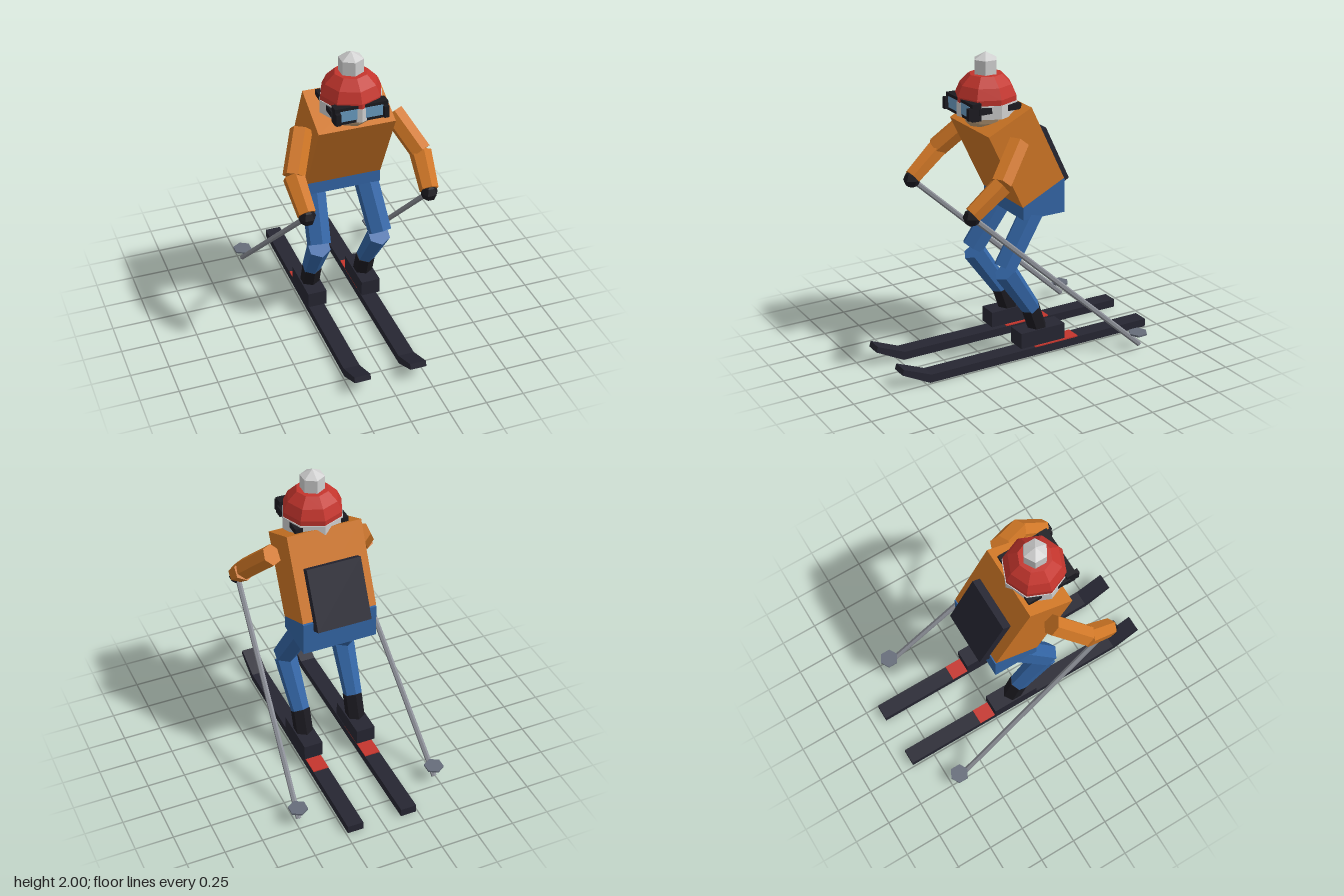
import * as THREE from 'three';

const mat = (name, color) => {
  const m = new THREE.MeshStandardMaterial({ color });
  m.name = name;
  m.flatShading = true;
  return m;
};

export function createModel() {
  const orange = mat('jacket orange', 0xcf7625);
  const blue = mat('trouser blue', 0x3365a5);
  const red = mat('hat red', 0xc4352d);
  const white = mat('wool grey', 0xcfcfcf);
  const dark = mat('ski charcoal', 0x262632);
  const black = mat('glove black', 0x1b1a20);
  const skin = mat('skin', 0xc0a07a);
  const lensBlue = mat('lens blue', 0x6a9cc2);
  const metal = mat('pole grey', 0x8b8e96);
  const basketGrey = mat('basket grey', 0x666d7a);

  const model = new THREE.Group();
  model.name = 'skier';

  const add = (name, geometry, material, pos = [0, 0, 0], parent = model) => {
    const mesh = new THREE.Mesh(geometry, material);
    mesh.name = name;
    mesh.position.set(...pos);
    parent.add(mesh);
    return mesh;
  };
  const box = (name, size, pos, material, parent) =>
    add(name, new THREE.BoxGeometry(...size), material, pos, parent);

  // Six-sided limb running from point a to point b
  const limb = (name, a, b, ra, rb, material, parent) => {
    const from = new THREE.Vector3(...a), to = new THREE.Vector3(...b);
    const dir = from.clone().sub(to);
    const mesh = add(name, new THREE.CylinderGeometry(ra, rb, dir.length(), 6), material,
      from.clone().add(to).multiplyScalar(0.5).toArray(), parent);
    mesh.quaternion.setFromUnitVectors(new THREE.Vector3(0, 1, 0), dir.normalize());
    return mesh;
  };
  const lathe = (name, points, sides, material, pos) =>
    add(name, new THREE.LatheGeometry(points.map(p => new THREE.Vector2(...p)), sides), material, pos);

  // Leaning torso, backpack and hips
  const lean = 0.45;
  box('torso', [0.495, 0.55, 0.332], [0, 1.361, 0.028], orange).rotation.x = lean;
  box('backpack', [0.36, 0.4, 0.075], [0, 1.316, -0.2], dark).rotation.x = lean;
  box('hips', [0.494, 0.22, 0.302], [0, 1.067, -0.096], blue);

  // Head, hat with cuff and bobble
  const hz = 0.178;
  add('head', new THREE.SphereGeometry(0.165, 8, 6), skin, [0, 1.66, hz]);
  add('hatCuff', new THREE.CylinderGeometry(0.2, 0.2, 0.085, 8), white, [0, 1.663, hz]);
  lathe('hat', [[0, 1.7], [0.195, 1.7], [0.195, 1.738], [0.165, 1.805], [0.105, 1.865], [0, 1.87]],
    8, red, [0, 0, hz]);
  lathe('bobble', [[0.078, 1.85], [0.078, 1.955], [0, 2]], 6, white, [0, 0, hz]);

  // Goggles
  const goggles = new THREE.Group();
  goggles.name = 'goggles';
  model.add(goggles);
  box('goggleStrap', [0.354, 0.038, 0.29], [0, 1.677, 0.175], black, goggles);
  box('goggleFrame', [0.336, 0.11, 0.063], [0, 1.675, 0.333], black, goggles);
  box('goggleLens', [0.27, 0.07, 0.006], [0, 1.675, 0.364], lensBlue, goggles);
  for (const s of [-1, 1])
    box('goggleRim', [0.03, 0.075, 0.028], [s * 0.152, 1.667, 0.375], black, goggles);

  // Ski side profile, drawn as (z, y) and extruded across the width
  const skiShape = new THREE.Shape([[-0.91, 0], [0.72, 0], [0.912, 0.1], [0.9, 0.135], [0.71, 0.055], [-0.91, 0.055]]
    .map(p => new THREE.Vector2(...p)));
  const skiGeo = new THREE.ExtrudeGeometry(skiShape, { depth: 0.106, bevelEnabled: false });
  skiGeo.translate(0, 0, -0.053).rotateY(-Math.PI / 2);

  for (const s of [-1, 1]) {
    const side = new THREE.Group();
    side.name = s > 0 ? 'leftSide' : 'rightSide';
    model.add(side);

    // Arm, glove and pole
    const elbow = [s * 0.412, 1.29, 0.31], hand = [s * 0.395, 1.112, 0.5];
    limb('upperArm', [s * 0.298, 1.487, 0.12], elbow, 0.07, 0.07, orange, side);
    limb('forearm', [s * 0.412, 1.285, 0.305], [s * 0.396, 1.128, 0.495], 0.07, 0.06, orange, side);
    add('glove', new THREE.SphereGeometry(0.056, 6, 4), black, hand, side);
    limb('pole', hand, [s * 0.48, 0.025, -0.69], 0.018, 0.018, metal, side);
    add('poleBasket', new THREE.CylinderGeometry(0.064, 0.064, 0.012, 6), basketGrey,
      [s * 0.479, 0.107, -0.68], side);

    // Bent leg
    limb('thigh', [s * 0.17, 1.04, -0.09], [s * 0.207, 0.645, 0.167], 0.082, 0.078, blue, side);
    limb('shin', [s * 0.204, 0.62, 0.16], [s * 0.19, 0.32, -0.04], 0.077, 0.062, blue, side);

    // Boot, binding plate and ski
    limb('bootShaft', [s * 0.188, 0.325, -0.035], [s * 0.188, 0.085, -0.118], 0.064, 0.064, black, side);
    box('boot', [0.128, 0.106, 0.327], [s * 0.188, 0.13, -0.094], dark, side);
    box('bindingPlate', [0.106, 0.008, 0.325], [s * 0.185, 0.058, -0.208], red, side);
    add('ski', skiGeo, dark, [s * 0.185, 0, 0], side);
  }
  return model;
}
